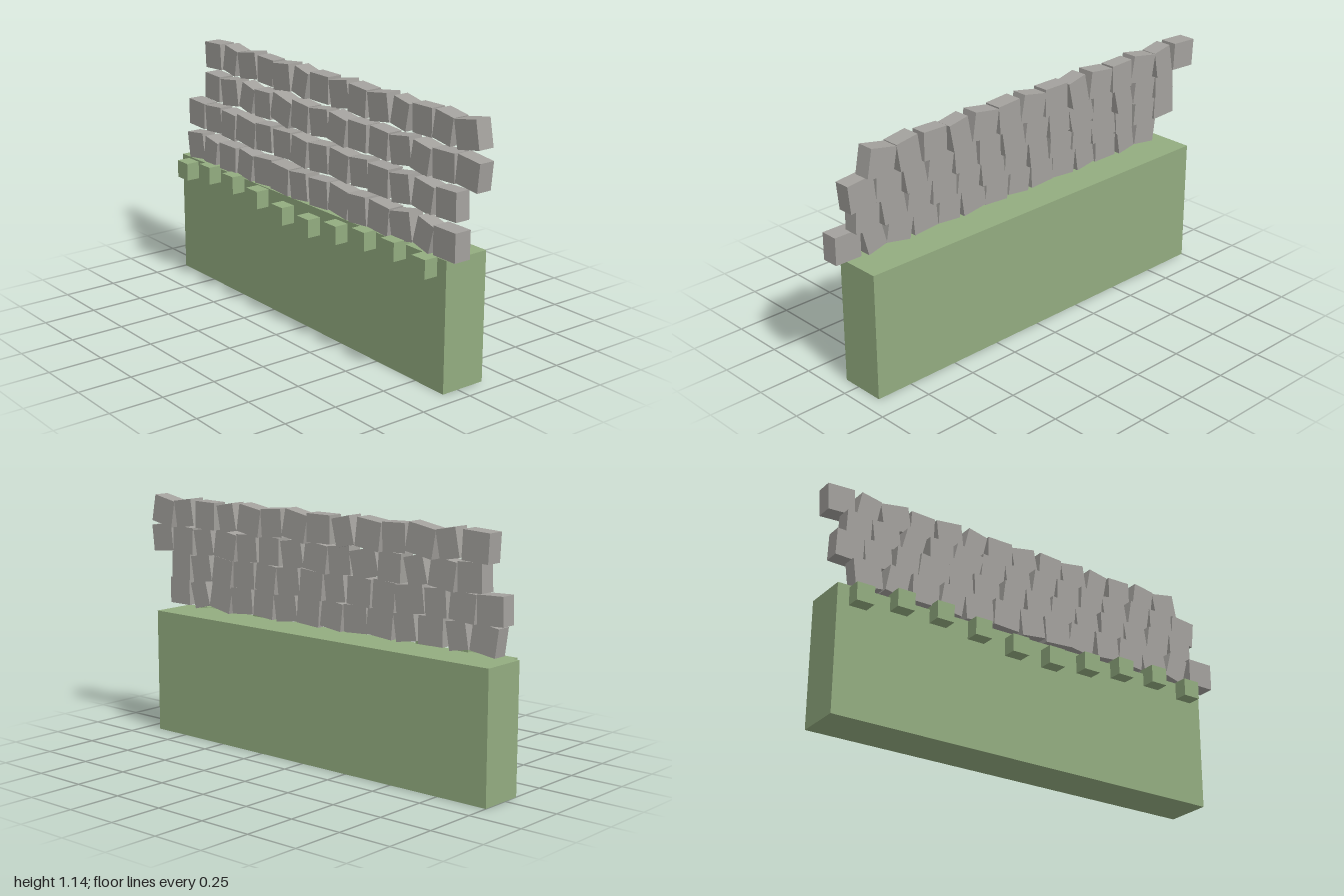
import * as THREE from 'three';

// Each course, bottom to top: [width in hundredths, tilt in degrees] per stone
const COURSES = [
  [[13, 8], [10, -10], [13, 0], [11, -9], [14, 5], [13, -3], [12, 7], [13, 4], [13, -8], [12, 5], [13, -5], [13, 11], [10, -15], [13, 0]],
  [[13, -2], [13, 5], [11, -4], [15, -7], [12, 4], [13, 3], [11, -7], [13, 5], [13, -6], [12, 7], [13, 0], [12, 9], [12, -9], [12, 2]],
  [[12, -2], [13, 8], [10, -14], [12, 2], [14, -13], [12, -5], [13, 8], [12, -9], [12, 0], [12, -4], [13, 9], [11, -10], [13, 2], [13, -6]],
  [[13, 3], [10, -11], [14, 10], [12, -2], [13, 7], [10, -13], [13, 0], [13, 11], [12, -4], [13, 9], [10, -11], [12, 1], [11, -9], [13, 11]],
];
const SPACING = 0.138;

export function createModel() {
  const model = new THREE.Group();
  const grass = new THREE.MeshStandardMaterial({ color: 0x93ac80 });
  grass.name = 'grass green';
  const stone = new THREE.MeshStandardMaterial({ color: 0xa3a19d });
  stone.name = 'stone grey';

  const addBox = (parent, name, material, size, position, tilt = 0) => {
    const mesh = new THREE.Mesh(new THREE.BoxGeometry(...size), material);
    mesh.name = name;
    mesh.position.set(...position);
    mesh.rotation.z = THREE.MathUtils.degToRad(tilt);
    parent.add(mesh);
  };

  // Earth bank
  addBox(model, 'bank', grass, [1.925, 0.58, 0.215], [-0.037, 0.29, -0.0275]);

  // Turf tufts in a wavy line along the front edge
  const tufts = new THREE.Group();
  tufts.name = 'tufts';
  model.add(tufts);
  [0.53, 0.557, 0.557, 0.535, 0.508, 0.503, 0.525, 0.55, 0.56, 0.541].forEach((y, i) =>
    addBox(tufts, 'tuft', grass, [0.083, 0.083, 0.083], [-0.903 + i * 0.1925, y, 0.104]));

  // Stepped courses of tilted stones, flush at the back and uneven in front
  COURSES.forEach((stones, row) => {
    const course = new THREE.Group();
    course.name = `stoneCourse${row + 1}`;
    model.add(course);
    const startX = row % 2 ? -0.93 : -0.865;
    const backZ = 0.018 - row * 0.0537;
    stones.forEach(([width, tilt], i) => {
      const depth = 0.07 + 0.0035 * ((i * 3 + row) % 4);
      addBox(course, 'stone', stone, [width / 100, 0.125, depth],
        [startX + i * SPACING, 0.655 + row * 0.1355, backZ + depth / 2], tilt);
    });
  });
  return model;
}
